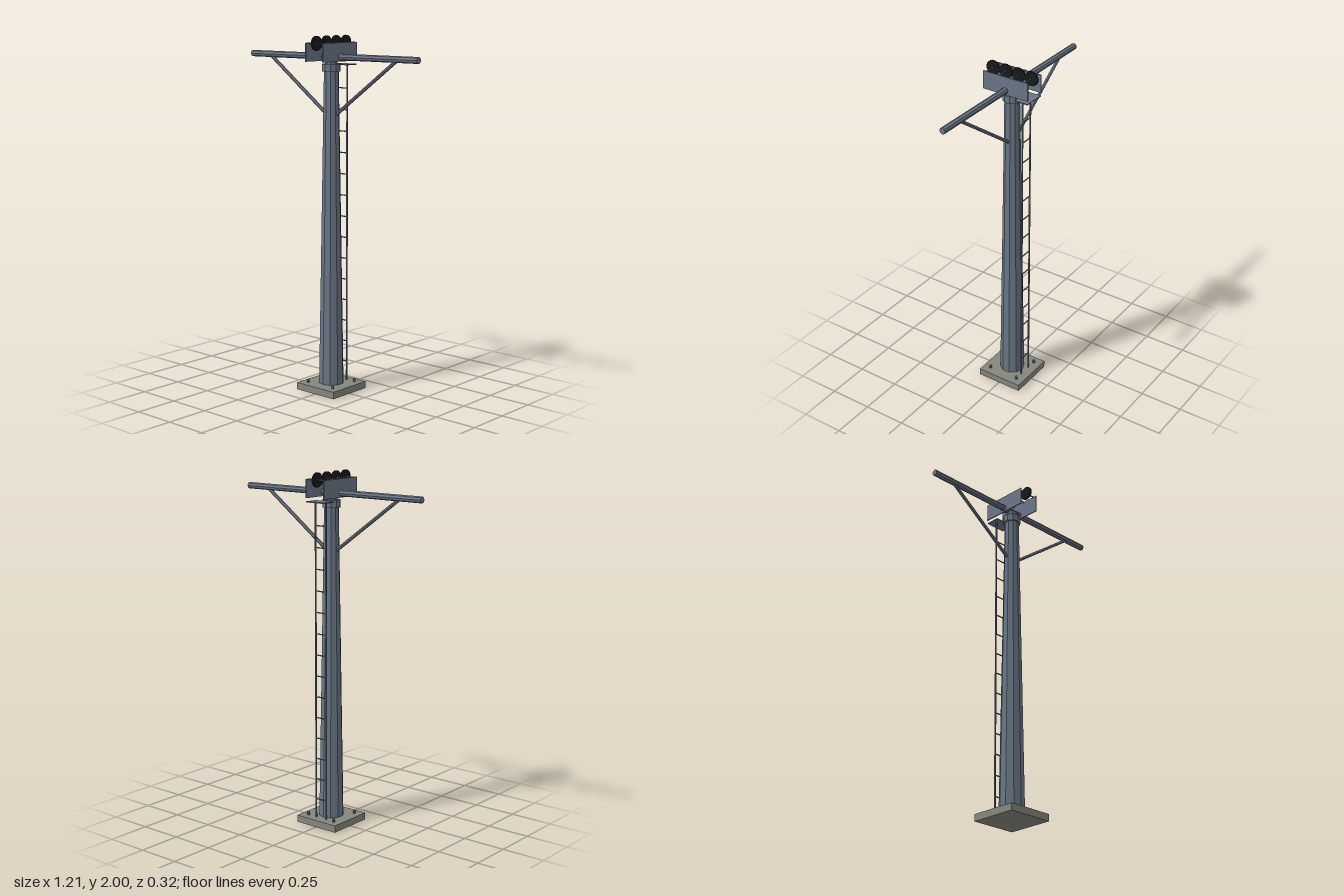
import * as THREE from 'three';

const mat = (name, color) => {
  const m = new THREE.MeshStandardMaterial({ color, flatShading: true });
  m.name = name;
  return m;
};

export function createModel() {
  const model = new THREE.Group();
  model.name = 'cablewayPylon';
  const steel = mat('blueGreySteel', 0x6a7686);
  const concrete = mat('concrete', 0x85867c);
  const rubber = mat('blackRubber', 0x18191b);

  const add = (name, geometry, material, x = 0, y = 0, z = 0, parent = model) => {
    const mesh = new THREE.Mesh(geometry, material);
    mesh.name = name;
    mesh.position.set(x, y, z);
    parent.add(mesh);
    return mesh;
  };
  const group = (name) => {
    const g = new THREE.Group();
    g.name = name;
    model.add(g);
    return g;
  };
  // Round bar between two points
  const bar = (name, a, b, radius, sides, material, parent = model) => {
    const p = new THREE.Vector3(...a), q = new THREE.Vector3(...b);
    const mid = p.clone().add(q).multiplyScalar(0.5);
    const mesh = add(name, new THREE.CylinderGeometry(radius, radius, p.distanceTo(q), sides),
      material, mid.x, mid.y, mid.z, parent);
    mesh.quaternion.setFromUnitVectors(new THREE.Vector3(0, 1, 0), q.sub(p).normalize());
  };

  // Footing with anchor bolts
  add('footing', new THREE.BoxGeometry(0.277, 0.04, 0.277), concrete, 0, 0.02, 0);
  const bolts = group('anchorBolts');
  for (const x of [-0.093, 0.093]) for (const z of [-0.093, 0.093])
    add('bolt', new THREE.CylinderGeometry(0.008, 0.008, 0.018, 6), steel, x, 0.049, z, bolts);

  // Tapered ten-sided mast, collar and neck
  add('mast', new THREE.CylinderGeometry(0.041, 0.071, 1.8, 10), steel, 0, 0.94, 0);
  add('collar', new THREE.CylinderGeometry(0.051, 0.051, 0.042, 10), steel, 0, 1.825, 0);
  add('neck', new THREE.CylinderGeometry(0.035, 0.035, 0.03, 10), steel, 0, 1.86, 0);

  // Crossarm and diagonal braces
  bar('crossarm', [-0.605, 1.885, 0], [0.605, 1.885, 0], 0.018, 8, steel);
  for (const s of [-1, 1])
    bar('brace', [s * 0.033, 1.568, 0], [s * 0.45, 1.872, 0], 0.01, 6, steel);

  // Side plates carrying four sheaves on axles
  for (const s of [-1, 1])
    add('sheavePlate', new THREE.BoxGeometry(0.006, 0.102, 0.28), steel, s * 0.062, 1.911, 0);
  const sheaves = group('sheaves');
  for (let i = 0; i < 4; i++) {
    const z = -0.12 + i * 0.08;
    bar('sheave', [-0.005, 1.96, z], [0.005, 1.96, z], 0.04, 24, rubber, sheaves);
    bar('axle', [-0.065, 1.96, z], [0.065, 1.96, z], 0.004, 6, steel, sheaves);
  }

  // Rear service platform
  add('platform', new THREE.BoxGeometry(0.124, 0.006, 0.08), steel, 0, 1.84, -0.098);

  // Rear ladder
  const ladder = group('ladder');
  for (const s of [-1, 1])
    add('rail', new THREE.BoxGeometry(0.007, 1.8, 0.007), steel, s * 0.037, 0.94, -0.09, ladder);
  for (let i = 0; i < 14; i++) {
    const y = 0.15 + i * 0.12;
    bar('rung', [-0.037, y, -0.09], [0.037, y, -0.09], 0.0035, 6, steel, ladder);
  }
  return model;
}
